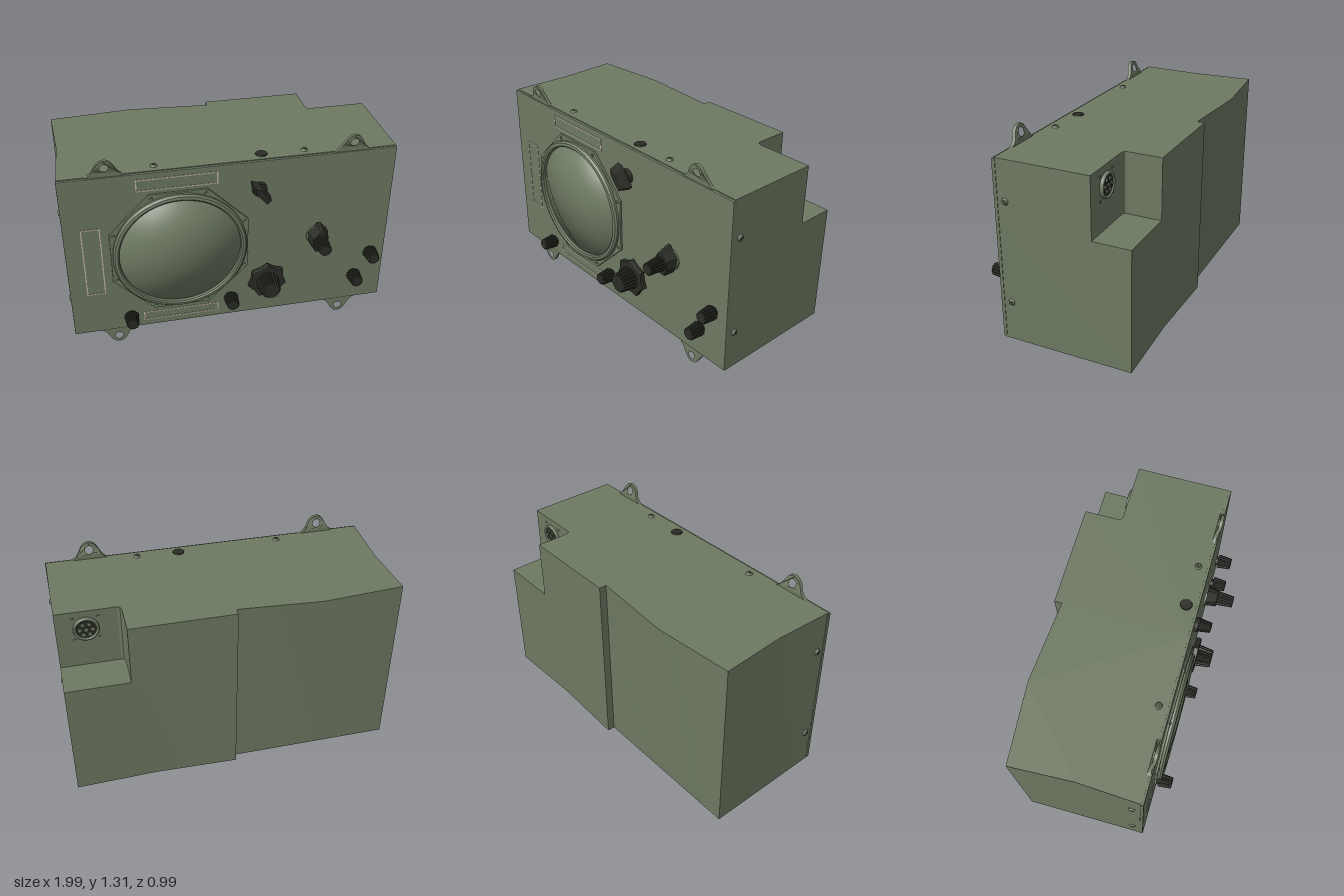
import * as THREE from 'three';
import { toCreasedNormals } from 'three/addons/utils/BufferGeometryUtils.js';

const paint = (name, color) => Object.assign(new THREE.MeshStandardMaterial({ color }), { name });

export function createModel() {
  const olive = paint('olive paint', 0x6d7962);
  const black = paint('knob black', 0x2b2c25);
  const pale = paint('label outline', 0xc4b4ae);
  const model = new THREE.Group();
  model.name = 'radarIndicator';

  const add = (name, geo, mat, x = 0, y = 0, z = 0, parent = model) => {
    const m = new THREE.Mesh(geo, mat);
    m.name = name;
    m.position.set(x, y, z);
    parent.add(m);
    return m;
  };
  const shapeOf = pts => new THREE.Shape(pts.map(p => new THREE.Vector2(...p)));
  const extrude = (shape, depth, bevel = 0) => new THREE.ExtrudeGeometry(shape, {
    depth: depth - 2 * bevel, curveSegments: 20, bevelEnabled: bevel > 0,
    bevelThickness: bevel, bevelSize: bevel, bevelOffset: -bevel, bevelSegments: 2,
  }).translate(0, 0, bevel);
  const move = (geo, rule) => {
    const p = geo.attributes.position, v = new THREE.Vector3();
    for (let i = 0; i < p.count; i++) {
      rule(v.fromBufferAttribute(p, i));
      p.setXYZ(i, v.x, v.y, v.z);
    }
    geo.computeVertexNormals();
    return geo;
  };
  // Cylinder whose axis runs along z, starting at z = 0
  const disc = (r0, r1, depth, n = 24) =>
    new THREE.CylinderGeometry(r1, r0, depth, n).rotateX(Math.PI / 2).translate(0, 0, depth / 2);

  // Upright prism from an [x, z] outline
  const prism = (pts, y0, y1) =>
    extrude(shapeOf(pts.map(([x, z]) => [x, -z])), y1 - y0).rotateX(-Math.PI / 2).translate(0, y0, 0);

  // Case: right half steps back further and has a corner notch
  const leftCase = move(
    prism([[-0.985, 0.3], [0, 0.3], [0, -0.45], [-0.5, -0.488], [-0.985, -0.45], [-0.985, -0.07]], 0.105, 1.213),
    v => {
      const top = v.y > 0.6;
      if (Math.abs(v.x + 0.5) < 0.01 && !top) v.z = -0.45;
      if (Math.abs(v.z + 0.07) < 0.01 && top) v.x = -0.967;
    });
  add('caseHalfPlain', toCreasedNormals(leftCase, 0.6), olive);
  const lower = move(
    prism([[0, 0.3], [0.985, 0.3], [0.985, -0.495], [0.5, -0.495], [0, -0.495]], 0.105, 0.85),
    v => { if (Math.abs(v.x - 0.5) < 0.01 && v.y < 0.5) v.z = -0.48; });
  add('caseHalfLower', toCreasedNormals(lower, 0.6), olive);
  add('caseHalfNotched', prism([[0, 0.3], [0.985, 0.3], [0.985, -0.268], [0.635, -0.268], [0.619, -0.275],
    [0.612, -0.29], [0.612, -0.495], [0, -0.495]], 0.85, 1.213), olive);

  // Front panel
  add('frontPanel', extrude(shapeOf([[-0.988, 0.11], [0.988, 0.11], [0.988, 1.208], [-0.988, 1.208]]), 0.022, 0.004),
    olive, 0, 0, 0.293);

  // Mounting lugs
  const lugShape = new THREE.Shape();
  lugShape.moveTo(-0.11, -0.02);
  lugShape.lineTo(-0.11, 0);
  lugShape.bezierCurveTo(-0.055, 0.015, -0.06, 0.104, 0, 0.104);
  lugShape.bezierCurveTo(0.06, 0.104, 0.055, 0.015, 0.11, 0);
  lugShape.lineTo(0.11, -0.02);
  const eye = new THREE.Path();
  eye.absarc(0, 0.058, 0.024, 0, Math.PI * 2, true);
  lugShape.holes.push(eye);
  for (const x of [-0.72, 0.72]) {
    const bent = move(extrude(lugShape, 0.02), v => { v.z += 0.014 * THREE.MathUtils.smoothstep(v.y, 0.02, 0.08); });
    add('upperLug', bent, olive, x, 1.211, 0.287);
    add('lowerLug', extrude(lugShape, 0.02), olive, x, 0.106, 0.307).rotation.x = Math.PI;
  }

  // Round display: octagonal plate, raised rim, domed glass
  const scope = new THREE.Group();
  scope.name = 'display';
  scope.position.set(-0.315, 0.66, 0.314);
  model.add(scope);
  const ringPoint = (r, a) => [r * Math.cos(a), r * Math.sin(a)];
  const octagon = Array.from({ length: 8 }, (_, i) => ringPoint(0.446, (i + 0.5) * Math.PI / 4));
  add('octagonPlate', extrude(shapeOf(octagon), 0.014, 0.003), olive, 0, 0, 0, scope);
  const rim = [[0.402, 0], [0.402, 0.028], [0.392, 0.04], [0.375, 0.043], [0.366, 0.036], [0.364, 0.008]]
    .map(p => new THREE.Vector2(...p));
  add('rim', toCreasedNormals(new THREE.LatheGeometry(rim, 64).rotateX(Math.PI / 2), 0.6),
    Object.assign(olive.clone(), { name: 'olive paint rim', side: THREE.DoubleSide }), 0, 0, 0, scope);
  // Flattened dome keeps the rounder normals for a full, curved sheen
  const arc = 0.85, radius = 0.368 / Math.sin(arc);
  const dome = new THREE.SphereGeometry(radius, 48, 20, 0, Math.PI * 2, 0, arc).rotateX(Math.PI / 2);
  const dp = dome.attributes.position, low = radius * Math.cos(arc);
  for (let i = 0; i < dp.count; i++) dp.setZ(i, 0.016 + 0.034 * (dp.getZ(i) - low) / (radius - low));
  add('domedGlass', dome, olive, 0, 0, 0, scope);
  for (let i = 0; i < 8; i++) {
    const [x, y] = ringPoint(0.419, (i + 0.5) * Math.PI / 4);
    add('plateScrew', disc(0.011, 0.008, 0.006, 12), olive, x, y, 0.013, scope);
  }

  // Outlined label strips
  const frame = (x0, x1, y0, y1) => {
    const s = shapeOf([[x0, y0], [x1, y0], [x1, y1], [x0, y1]]), t = 0.007;
    s.holes.push(new THREE.Path([[x0 + t, y0 + t], [x0 + t, y1 - t], [x1 - t, y1 - t], [x1 - t, y0 + t]]
      .map(p => new THREE.Vector2(...p))));
    add('labelOutline', extrude(s, 0.004), pale, 0, 0, 0.314);
  };
  frame(-0.557, -0.083, 1.094, 1.172);
  frame(-0.888, -0.775, 0.403, 0.877);
  frame(-0.557, -0.083, 0.153, 0.216);

  // Fluted knob, tapering towards the front
  const flutedKnob = (r, depth, n = 14) => {
    const pts = Array.from({ length: n * 4 }, (_, i) =>
      ringPoint(r * (i % 4 < 2 ? 1 : 0.88), i * Math.PI / (n * 2)));
    return move(extrude(shapeOf(pts), depth, 0.006), v => {
      const s = 1 - 0.2 * v.z / depth;
      v.x *= s;
      v.y *= s;
    });
  };
  for (const [x, y] of [[-0.635, 0.21], [-0.008, 0.255], [0.795, 0.308], [0.888, 0.475]]) {
    add('smallKnobCollar', disc(0.03, 0.03, 0.02), black, x, y, 0.31);
    add('smallKnob', flutedKnob(0.046, 0.09), black, x, y, 0.328);
  }

  // Large knob with a seven-lobed skirt
  const skirt = Array.from({ length: 14 }, (_, i) =>
    ringPoint(i % 2 ? 0.103 : 0.123, Math.PI / 2 + i * Math.PI / 7));
  add('largeKnobShaft', disc(0.05, 0.05, 0.02), black, 0.22, 0.365, 0.312);
  add('largeKnobSkirt', extrude(shapeOf(skirt), 0.034, 0.006), black, 0.22, 0.365, 0.326);
  add('largeKnob', flutedKnob(0.073, 0.1, 18), black, 0.22, 0.365, 0.358);

  // Stacked knob with a pointer skirt
  add('stackedKnobWasher', disc(0.07, 0.07, 0.015, 32), olive, 0.535, 0.648, 0.31);
  add('stackedKnobSkirt', move(extrude(shapeOf([[-0.012, 0.097], [-0.06, 0.03], [-0.06, -0.025], [-0.035, -0.075],
    [0.035, -0.075], [0.06, -0.025], [0.06, 0.03], [0.012, 0.097]]), 0.07, 0.006),
  v => { const s = 1 - 3 * v.z; v.x *= s; v.y *= v.y > 0 ? s : 1; }), black, 0.535, 0.648, 0.324);
  add('stackedKnob', flutedKnob(0.046, 0.108), black, 0.535, 0.648, 0.39);

  // Pointer switch
  const selector = new THREE.Group();
  selector.name = 'selectorSwitch';
  selector.position.set(0.16, 1.027, 0.31);
  selector.rotation.z = 0.69;
  model.add(selector);
  add('selectorCollar', disc(0.046, 0.042, 0.03), black, 0, 0, 0, selector);
  add('selectorPointer', move(extrude(shapeOf([[0, 0.092], [-0.027, 0.045], [-0.022, -0.075], [0.022, -0.075],
    [0.027, 0.045]]), 0.078, 0.005), v => { if (v.z > 0.05) { v.x *= 0.75; v.y *= 0.8; } }),
  black, 0, 0, 0.022, selector);

  // Screws around the case edges; each head faces along dir
  const zAxis = new THREE.Vector3(0, 0, 1);
  const screw = (x, y, z, dir) => {
    const g = new THREE.Group();
    g.name = 'caseScrew';
    g.position.set(x, y, z);
    g.quaternion.setFromUnitVectors(zAxis, new THREE.Vector3(...dir));
    model.add(g);
    add('screwHead', disc(0.021, 0.014, 0.011, 16), olive, 0, 0, 0, g);
    for (const turn of [0.6, 0.6 + Math.PI / 2])
      add('screwSlot', new THREE.BoxGeometry(0.022, 0.004, 0.002), black, 0, 0, 0.011, g).rotation.z = turn;
  };
  for (const s of [-1, 1]) {
    for (const y of [0.35, 0.97]) screw(s * 0.985, y, 0.247, [s, 0, 0]);
    screw(s * 0.44, 1.213, 0.247, [0, 1, 0]);
    screw(s * 0.44, 0.105, 0.247, [0, -1, 0]);
  }
  add('topPlug', disc(0.036, 0.033, 0.006, 24), black, 0.185, 1.212, 0.24).rotation.x = -Math.PI / 2;

  // Rear connector in the notch
  const plug = new THREE.Group();
  plug.name = 'rearConnector';
  plug.position.set(0.815, 1.1, -0.267);
  plug.rotation.y = Math.PI;
  model.add(plug);
  add('connectorBase', disc(0.073, 0.073, 0.012, 32), olive, 0, 0, 0, plug);
  add('connectorRing', new THREE.TorusGeometry(0.066, 0.008, 8, 32), olive, 0, 0, 0.013, plug);
  add('connectorFace', disc(0.056, 0.056, 0.003, 32), black, 0, 0, 0.011, plug);
  for (let i = 0; i < 7; i++) {
    const [x, y] = i ? ringPoint(0.036, i * Math.PI / 3) : [0, 0];
    add('connectorPin', disc(0.011, 0.011, 0.008, 12), olive, x, y, 0.012, plug);
  }
  for (const x of [-0.07, 0.07]) for (const y of [-0.07, 0.07])
    add('connectorScrew', disc(0.009, 0.007, 0.005, 10), olive, x, y, 0, plug);

  return model;
}
